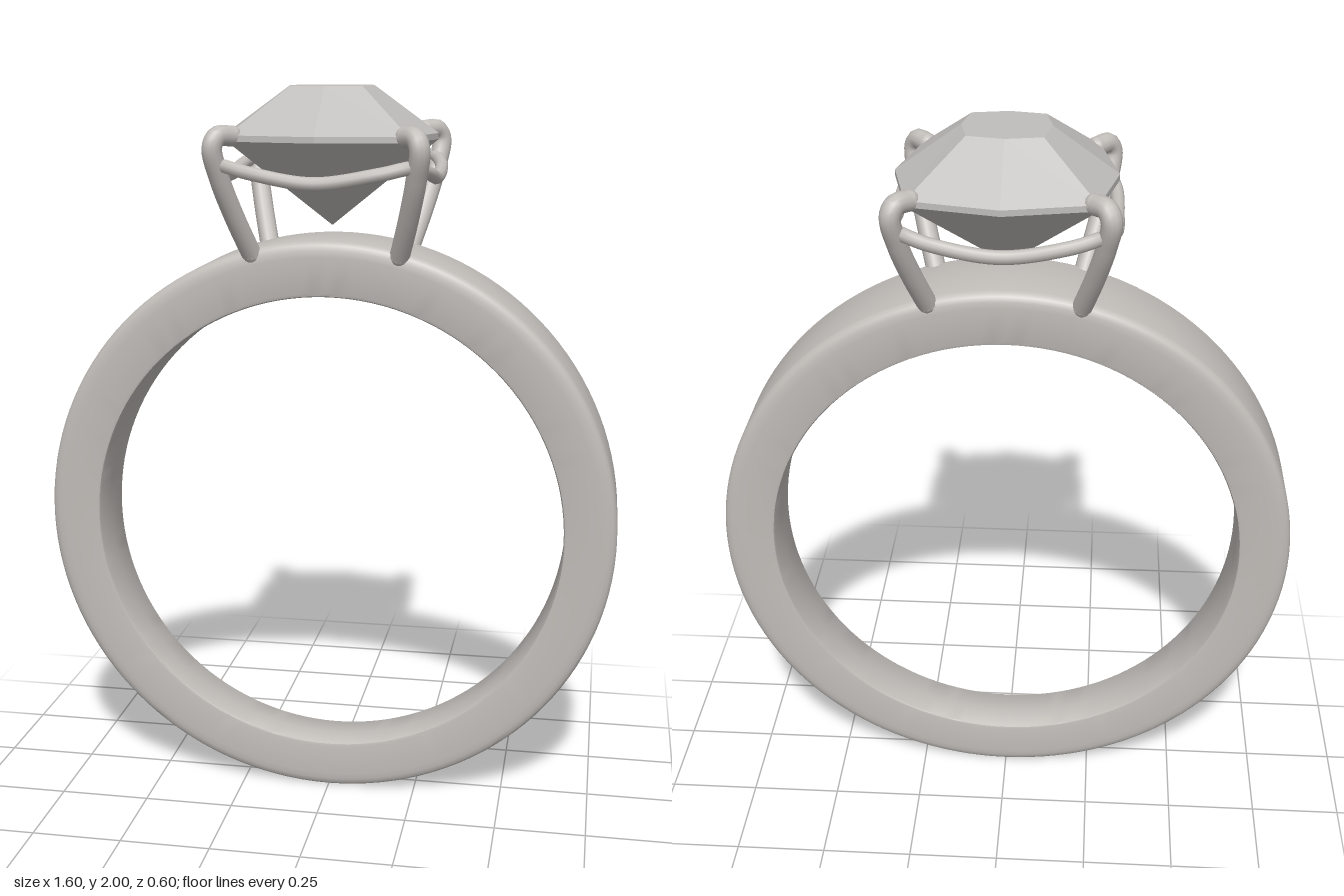
import * as THREE from 'three';
import { toCreasedNormals } from 'three/addons/utils/BufferGeometryUtils.js';

const metal = new THREE.MeshStandardMaterial({ color: 0xc2beba });
metal.name = 'metal';
const gem = new THREE.MeshStandardMaterial({ color: 0xc0bebc });
gem.name = 'gem';

function buildGeometry(positions, indices) {
  const g = new THREE.BufferGeometry();
  g.setAttribute('position', new THREE.Float32BufferAttribute(positions, 3));
  g.setIndex(indices);
  return g;
}

function mesh(name, geometry, material) {
  const m = new THREE.Mesh(geometry, material);
  m.name = name;
  return m;
}

// Band: a softened rectangle swept round, wider towards the top
function bandGeometry() {
  // [0 = outer circle .. 1 = inner circle, fraction of half width]
  const half = [[0, 0], [0, 0.8], [0.02, 0.88], [0.07, 0.95], [0.16, 0.99],
    [0.28, 1], [0.93, 1], [0.98, 0.98], [1, 0.93], [1, 0]];
  const profile = [...half, ...half.slice(1, -1).reverse().map(([t, s]) => [t, -s])];
  const n = 128, m = profile.length, positions = [], indices = [];
  for (let i = 0; i < n; i++) {
    const a = (i / n) * Math.PI * 2;
    profile.forEach(([t, s], j) => {
      const r = THREE.MathUtils.lerp(0.8, 0.657, t);
      const y = THREE.MathUtils.lerp(0.8, 0.793, t) + r * Math.sin(a);
      positions.push(r * Math.cos(a), y, s * (0.075 + 0.0375 * y));
      const k = (i + 1) % n, l = (j + 1) % m;
      indices.push(i * m + j, k * m + j, k * m + l, i * m + j, k * m + l, i * m + l);
    });
  }
  return toCreasedNormals(buildGeometry(positions, indices), 0.75);
}

// Stone: eight-sided cushion rings between the culet and the table
function stoneGeometry() {
  // [y, side x, side z, corner x, corner z]
  const rings = [[1.63, 0, 0, 0, 0], [1.862, 0.286, 0.275, 0.235, 0.225],
    [1.878, 0.286, 0.275, 0.235, 0.225], [2, 0.115, 0.112, 0.096, 0.094], [2, 0, 0, 0, 0]];
  const positions = [], indices = [];
  rings.forEach(([y, sx, sz, cx, cz], i) => {
    for (let j = 0; j < 8; j++) {
      const c = Math.cos(j * Math.PI / 4), s = Math.sin(j * Math.PI / 4);
      const corner = j % 2 === 1;
      positions.push((corner ? cx * Math.sign(c) : sx * c), y, (corner ? cz * Math.sign(s) : sz * s));
      if (i === rings.length - 1) continue;
      const a = i * 8 + j, b = i * 8 + (j + 1) % 8;
      if (i < rings.length - 2) indices.push(a, a + 8, b + 8);
      if (i > 0) indices.push(a, b + 8, b);
    }
  });
  // Close the table, where the upper ring is a single point
  for (let j = 0; j < 8; j++) indices.push(24 + j, 32, 24 + (j + 1) % 8);
  const g = buildGeometry(positions, indices).toNonIndexed();
  g.computeVertexNormals();
  return g;
}

// Prong: bent wire with round ends, gripping one stone corner
function prong(sx, sz) {
  const group = new THREE.Group();
  group.name = 'prong';
  const points = [[0.2, 1.56, 0.115], [0.232, 1.67, 0.18], [0.256, 1.77, 0.232],
    [0.267, 1.85, 0.26], [0.255, 1.876, 0.248], [0.225, 1.876, 0.215]]
    .map(([x, y, z]) => new THREE.Vector3(x * sx, y, z * sz));
  const path = new THREE.CatmullRomCurve3(points);
  const r = 0.027;
  group.add(mesh('prongWire', new THREE.TubeGeometry(path, 40, r, 12), metal));
  for (const p of [points[0], points[points.length - 1]]) {
    const end = mesh('prongEnd', new THREE.SphereGeometry(r, 14, 10), metal);
    end.position.copy(p);
    group.add(end);
  }
  return group;
}

// Gallery rail: closed wire that rises to each prong and dips between them
function railGeometry() {
  const points = [];
  for (let q = 0; q < 4; q++) {
    const a = q * Math.PI / 2;
    for (const [u, y, v] of [[-0.245, 1.802, 0.245], [-0.17, 1.787, 0.276],
      [0, 1.762, 0.284], [0.17, 1.787, 0.276]]) {
      points.push(new THREE.Vector3(u * Math.cos(a) + v * Math.sin(a), y, v * Math.cos(a) - u * Math.sin(a)));
    }
  }
  const path = new THREE.CatmullRomCurve3(points, true);
  return new THREE.TubeGeometry(path, 128, 0.018, 10, true);
}

export function createModel() {
  const ring = new THREE.Group();
  ring.name = 'ring';
  ring.add(mesh('band', bandGeometry(), metal));
  ring.add(mesh('stone', stoneGeometry(), gem));
  ring.add(mesh('galleryRail', railGeometry(), metal));
  for (const sx of [-1, 1]) for (const sz of [-1, 1]) ring.add(prong(sx, sz));
  return ring;
}
